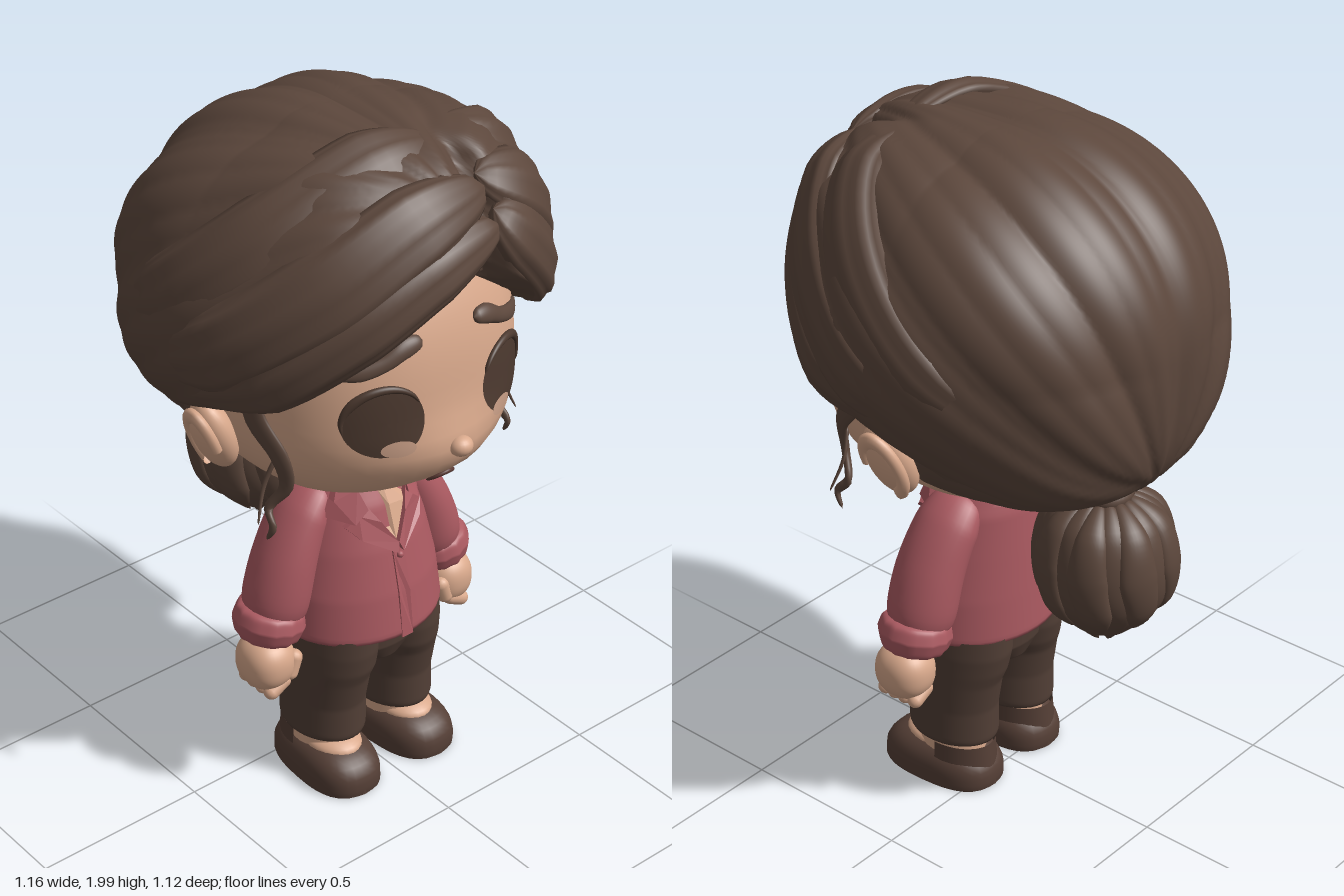
import * as THREE from 'three';

const V = (x, y, z) => new THREE.Vector3(x, y, z);
const mat = (name, color) => Object.assign(new THREE.MeshStandardMaterial({ color, side: THREE.DoubleSide }), { name });

// Linear look-up in a table of rows, the first column being the key
function table(rows, key) {
  let i = 0;
  while (i < rows.length - 2 && key > rows[i + 1][0]) i++;
  const a = rows[i], b = rows[i + 1];
  const t = THREE.MathUtils.clamp((key - a[0]) / (b[0] - a[0]), 0, 1);
  return a.map((q, k) => q + (b[k] - q) * t);
}
const along = (arr, v) => table(arr.map((w, i) => [i / (arr.length - 1), w]), v)[1];

// Closed ring surface: f(v, angle) gives a point, v runs down the rows
function grid(rows, cols, f) {
  const pos = [], idx = [];
  for (let r = 0; r <= rows; r++)
    for (let c = 0; c < cols; c++) pos.push(...f(r / rows, (c / cols) * Math.PI * 2).toArray());
  for (let r = 0; r < rows; r++)
    for (let c = 0; c < cols; c++) {
      const a = r * cols + c, b = r * cols + ((c + 1) % cols);
      idx.push(a, a + cols, b + cols, a, b + cols, b);
    }
  const g = new THREE.BufferGeometry();
  g.setAttribute('position', new THREE.Float32BufferAttribute(pos, 3));
  g.setIndex(idx);
  g.computeVertexNormals();
  return g;
}

// Rounded strand along points; its flat side faces away from centre
function sweep(points, widths, thicks, centre, ridges = 0, depth = 0) {
  const curve = new THREE.CatmullRomCurve3(points);
  return grid(28, 28, (v, a) => {
    const p = curve.getPoint(v), t = curve.getTangent(v);
    const n = p.clone().sub(centre);
    n.addScaledVector(t, -n.dot(t)).normalize();
    const b = t.clone().cross(n);
    const e = Math.sqrt(Math.max(0, 1 - Math.abs(2 * v - 1) ** 8)) * (1 + depth * Math.cos(a * ridges));
    return p.addScaledVector(b, Math.cos(a) * along(widths, v) * e).addScaledVector(n, Math.sin(a) * along(thicks, v) * e);
  });
}

// Elliptic loft, rows of [y, rx, zCentre, rz, xCentre] from the bottom up
const loft = (rows, side = 1) => grid(44, 40, (v, a) => {
  const top = rows[rows.length - 1][0];
  const [y, rx, zc, rz, xc] = table(rows, top + (rows[0][0] - top) * v);
  return V(side * xc + rx * Math.sin(a), y, zc + rz * Math.cos(a));
});

// Superellipsoid with separate radii for each end
function blob(rx, up, down, front, back, n, floor = -9) {
  return grid(32, 44, (v, a) => {
    const t = v * Math.PI, d = V(Math.sin(t) * Math.sin(a), Math.cos(t), Math.sin(t) * Math.cos(a));
    const q = Math.abs(d.x / rx) ** n + Math.abs(d.y / (d.y > 0 ? up : down)) ** n + Math.abs(d.z / (d.z > 0 ? front : back)) ** n;
    d.multiplyScalar(q ** (-1 / n));
    d.y = Math.max(d.y, floor);
    return d;
  });
}

// Lay a geometry onto the surface z = f(x, y)
function drape(g, f, lift) {
  const p = g.attributes.position;
  for (let i = 0; i < p.count; i++) p.setZ(i, p.getZ(i) + f(p.getX(i), p.getY(i), p.getZ(i)) + lift);
  g.computeVertexNormals();
  return g;
}
const plate = (pts, depth) => new THREE.ExtrudeGeometry(new THREE.Shape(pts.map(p => new THREE.Vector2(...p))), { depth, bevelEnabled: false });
const disc = (x, y, rx, ry) => new THREE.RingGeometry(0.001, 1, 36, 6).scale(rx, ry, 1).translate(x, y, 0);

// Face surface with a soft muzzle
const HEAD = V(0, 1.27, 0.05);
const muzzle = (x, y) => 0.045 * Math.exp(-((x / 0.17) ** 2) - ((y - 1.15) / 0.1) ** 2);
const faceZ = (x, y) => {
  const dy = y - HEAD.y;
  return HEAD.z + muzzle(x, y) + 0.425 * Math.max(0, 1 - Math.abs(x / 0.41) ** 2.4 - Math.abs(dy / (dy > 0 ? 0.52 : 0.315)) ** 2.4) ** (1 / 2.4);
};
// Shirt body surface
const TORSO = [[0.479, 0.15, 0.1, 0.12, 0], [0.48, 0.24, 0.105, 0.205, 0], [0.5, 0.243, 0.105, 0.208, 0], [0.62, 0.232, 0.1, 0.195, 0],
  [0.75, 0.205, 0.09, 0.175, 0], [0.87, 0.175, 0.075, 0.15, 0], [0.93, 0.14, 0.065, 0.125, 0], [0.965, 0.095, 0.06, 0.095, 0]];
const torsoZ = (x, y) => {
  const [, rx, zc, rz] = table(TORSO, y);
  return zc + rz * Math.sqrt(Math.max(0, 1 - (x / rx) ** 2));
};
// Hair volume
const HC = V(0, 1.48, -0.005);
function hull(d, k = 1) {
  d = d.clone().normalize();
  const n = 2 + 3.6 * Math.max(0, d.y * d.z) * (1 - Math.abs(d.x));
  const q = Math.abs(d.x / 0.565) ** n + Math.abs(d.y / (d.y > 0 ? 0.49 : 0.47)) ** n + Math.abs(d.z / (d.z > 0 ? 0.53 : 0.555)) ** n;
  return d.multiplyScalar(k * q ** (-1 / n)).add(HC);
}
const HAIRLINE = [[0, 1.69], [15, 1.64], [31, 1.52], [54, 1.37], [90, 1.27], [104, 1.17], [120, 1.06], [180, 1.03]];

function hairCap() {
  const dir = (t, a) => V(Math.sin(t) * Math.sin(a), Math.cos(t), Math.sin(t) * Math.cos(a));
  const limits = new Map();
  return grid(80, 240, (v, a) => {
    if (!limits.has(a)) {
      const deg = THREE.MathUtils.radToDeg(Math.min(a, 2 * Math.PI - a)), y = table(HAIRLINE, deg)[1];
      let lo = 0, hi = Math.PI;
      for (let i = 0; i < 22; i++) {
        const m = (lo + hi) / 2;
        if (hull(dir(m, a)).y > y) lo = m; else hi = m;
      }
      limits.set(a, lo);
    }
    const s = Math.min(1, v / 0.94), d = dir(limits.get(a) * s, a);
    // Strand ridges run from the front parting to the ponytail
    const up = d.y * 0.78 - d.z * 0.62, phi = Math.atan2(d.x, up), fan = Math.sqrt(Math.hypot(d.x, up));
    let k = 1 + fan * (0.04 * (Math.abs(Math.sin(phi * 5 + 0.5 * Math.sin(phi * 2))) - 0.65) + 0.009 * Math.abs(Math.sin(phi * 16 + 1)));
    if (v > 0.94) k *= 1 - ((v - 0.94) / 0.06) * 0.28;
    const p = hull(d, k);
    if (p.z > 0.15 && p.y > 1.6) p.z -= 0.09 * Math.exp(-(((p.x - 0.11) / 0.04) ** 2)) * Math.min(1, (p.z - 0.15) * 4);
    return p;
  });
}

export function createModel() {
  const model = new THREE.Group();
  const hair = mat('hair brown', 0x5c473c), skin = mat('skin', 0xd9a98c), shirt = mat('shirt rose', 0xab5a61);
  const trousers = mat('trouser brown', 0x523f36), shoe = mat('shoe brown', 0x553f36), eye = mat('eye brown', 0x4c392f);
  const shine = mat('eye glow', 0xc79d85), lip = mat('mouth dark', 0x5a3a34), teeth = mat('teeth', 0xe0bfa9);
  const add = (name, g, m, x = 0, y = 0, z = 0) => {
    const mesh = new THREE.Mesh(g, m);
    mesh.name = name;
    mesh.position.set(x, y, z);
    model.add(mesh);
    return mesh;
  };

  // Head and face
  add('head', drape(blob(0.41, 0.52, 0.315, 0.425, 0.36, 2.4), (x, y, z) => (z > 0 ? muzzle(x, y + HEAD.y) * Math.min(1, z * 5) : 0), 0), skin, HEAD.x, HEAD.y, HEAD.z);
  add('nose', new THREE.SphereGeometry(0.03, 20, 14).scale(1.1, 0.9, 1), skin, 0, 1.19, 0.507);
  add('neck', new THREE.CylinderGeometry(0.08, 0.085, 0.16, 28), skin, 0, 0.93, 0.07);
  const onFace = (x, y, lift = 0.004) => V(x, y, faceZ(x, y) + lift);
  add('teeth', drape(disc(0, 1.07, 0.03, 0.013), faceZ, 0.007), teeth);
  add('mouth', sweep([[-0.042, 1.062], [-0.025, 1.081], [0, 1.088], [0.025, 1.081], [0.042, 1.062]].map(p => onFace(...p)), [0.004, 0.007, 0.004], [0.006, 0.006], HEAD), lip);

  // Hair: each lock is [hull factor, width, points]
  add('hairCap', hairCap(), hair);
  add('napeHair', blob(0.425, 0.3, 0.27, 0.03, 0.44, 2.6), hair, 0, 1.27, -0.01);
  const locks = [
    [0.99, 0.085, [0.13, 1.78, 0.5], [-0.1, 1.74, 0.52], [-0.3, 1.62, 0.45], [-0.46, 1.45, 0.28], [-0.54, 1.31, 0]],
    [0.99, 0.1, [0.12, 1.87, 0.45], [-0.12, 1.84, 0.47], [-0.36, 1.7, 0.4], [-0.52, 1.5, 0.16], [-0.54, 1.35, -0.2]],
    [0.95, 0.1, [0.1, 1.95, 0.3], [-0.12, 1.95, 0.3], [-0.4, 1.78, 0.2], [-0.54, 1.56, -0.04], [-0.46, 1.32, -0.38]],
    [0.97, 0.09, [0.14, 1.83, 0.5], [0.22, 1.73, 0.5], [0.36, 1.56, 0.4], [0.49, 1.41, 0.2], [0.55, 1.31, -0.03]],
    [0.96, 0.1, [0.13, 1.9, 0.42], [0.28, 1.82, 0.42], [0.44, 1.63, 0.28], [0.55, 1.45, 0.03], [0.51, 1.3, -0.28]],
    [0.95, 0.09, [0.14, 1.95, 0.24], [0.3, 1.88, 0.25], [0.46, 1.7, 0.1], [0.54, 1.5, -0.15], [0.42, 1.3, -0.42]],
  ];
  for (const [k, w, ...pts] of locks)
    add('frontLock', sweep(pts.map(p => hull(V(...p).sub(HC), k)), [w * 0.6, w, w * 1.1, w, w * 0.35], [0.035, 0.048, 0.045, 0.04, 0.015], HC, 8, 0.07), hair);

  // Ponytail with overlapping locks
  const PT = V(0, 0.82, -0.335);
  add('ponytailCore', blob(0.165, 0.2, 0.23, 0.165, 0.165, 2), hair, PT.x, PT.y, PT.z);
  for (let i = 0; i < 16; i++) {
    const a = (i / 16) * Math.PI * 2, outer = i % 2;
    const at = (r, y, twist = 0) => V(r * Math.sin(a + twist), y, PT.z + r * Math.cos(a + twist));
    const r = outer ? 0.172 : 0.155;
    add('ponytailLock', sweep([at(0.05, 1.015), at(r * 0.82, 0.945), at(r, 0.84), at(r * 0.93, 0.73, 0.12), outer ? at(0.105, 0.645, 0.25) : at(0.03, 0.575, 0.2)],
      [0.02, 0.045, 0.057, 0.047, 0.01], [0.02, 0.03, 0.03, 0.025, 0.01], PT), hair);
  }
  add('hairTie', new THREE.TorusGeometry(0.055, 0.028, 12, 32).rotateX(Math.PI / 2 - 0.25), hair, 0, 1.03, -0.325);

  // Shirt
  add('shirtBody', loft(TORSO), shirt);
  add('collarBack', new THREE.CylinderGeometry(0.095, 0.14, 0.08, 32, 1, true, Math.PI / 2 - 0.6, Math.PI + 1.2), shirt, 0, 0.94, 0.06);
  add('placket', drape(plate([[-0.016, 0.485], [0.022, 0.485], [0.022, 0.62], [0.022, 0.75], [-0.016, 0.75], [-0.016, 0.62]], 0.005), torsoZ, 0), shirt);
  add('button', new THREE.SphereGeometry(0.01, 12, 8), shirt, 0.004, 0.73, torsoZ(0, 0.73) + 0.006);

  // Seat joining the legs
  add('hips', loft([[0.35, 0.03, 0.1, 0.08, 0], [0.375, 0.1, 0.1, 0.145, 0], [0.43, 0.19, 0.1, 0.168, 0], [0.5, 0.21, 0.1, 0.176, 0]]), trousers);

  for (const s of [1, -1]) {
    // Eyes and brows
    add('eye', drape(disc(s * 0.197, 1.302, 0.099, 0.096), faceZ, 0.004), eye);
    add('eyeGlow', drape(disc(s * 0.172, 1.228, 0.043, 0.023), faceZ, 0.008), shine);
    const lash = [];
    for (let i = 0; i <= 8; i++) {
      const a = 2.7 - i * 0.37;
      lash.push(onFace(s * (0.197 + 0.098 * Math.cos(a)), 1.302 + 0.096 * Math.sin(a)));
    }
    add('lash', sweep(lash, [0.004, 0.01, 0.013, 0.004], [0.007, 0.01, 0.006], HEAD), eye);
    add('brow', sweep([[0.085, 1.505], [0.135, 1.497], [0.19, 1.468], [0.25, 1.447], [0.32, 1.435]].map(([x, y]) => onFace(s * x, y)),
      [0.022, 0.027, 0.021, 0.02, 0.008], [0.015, 0.017, 0.012, 0.008], HEAD), hair);

    // Ear with a curled outer rim
    const ear = new THREE.Group();
    ear.name = 'ear';
    ear.position.set(s * 0.425, 1.17, 0.035);
    ear.rotation.set(0.12, 0, -s * 0.36);
    const lobe = new THREE.Mesh(new THREE.SphereGeometry(1, 28, 20).scale(0.052, 0.118, 0.073), skin);
    const rim = new THREE.Mesh(new THREE.TorusGeometry(0.054, 0.016, 10, 32, 4.4).rotateZ(-1.3).rotateY(Math.PI / 2).scale(1, 1.65, 1), skin);
    lobe.name = 'earLobe';
    rim.name = 'earRim';
    rim.position.x = s * 0.032;
    ear.add(lobe, rim);
    model.add(ear);

    // Loose wisps beside the face
    add('wisp', sweep([[0.41, 1.42, 0.16], [0.405, 1.28, 0.18], [0.38, 1.18, 0.25], [0.365, 1.09, 0.255], [0.395, 1.02, 0.22], [0.405, 0.98, 0.25], [0.41, 0.935, 0.23]]
      .map(([x, y, z]) => V(s * x, y, z)), [0.035, 0.034, 0.024, 0.014, 0.012, 0.007], [0.012, 0.012, 0.01, 0.007], HEAD), hair);
    add('wispTip', sweep([V(s * 0.38, 1.17, 0.23), V(s * 0.41, 1.09, 0.22), V(s * 0.445, 1, 0.24)], [0.007, 0.006, 0.003], [0.006, 0.003], HEAD), hair);

    // Open neckline, collar and lapel
    const mirror = pts => pts.map(([x, y]) => [s * x, y]);
    add('neckSkin', drape(plate(mirror([[0, 0.965], [0.04, 0.965], [0.08, 0.962], [0.085, 0.93], [0.06, 0.86], [0, 0.775], [0, 0.87], [0, 0.93]]), 0.004), torsoZ, 0.004), skin);
    add('collar', drape(plate(mirror([[0.08, 0.96], [0.1, 0.95], [0.135, 0.9], [0.172, 0.86], [0.11, 0.845], [0.07, 0.88], [0.078, 0.93]]), 0.022), torsoZ, 0.004), shirt);
    add('lapel', drape(plate(mirror([[0.078, 0.905], [0.095, 0.865], [0.13, 0.835], [0.1, 0.8], [0.01, 0.745], [0, 0.772], [0.042, 0.84]]), 0.016), torsoZ, 0.004), shirt);

    // Sleeve, gathered cuff and hand
    const back = V(s * 0.1, 0.6, -3);
    add('sleeve', sweep([V(s * 0.1, 0.915, 0.065), V(s * 0.172, 0.84, 0.07), V(s * 0.235, 0.72, 0.08), V(s * 0.29, 0.525, 0.085)],
      [0.045, 0.068, 0.083, 0.1], [0.07, 0.095, 0.1, 0.104], back), shirt);
    add('cuff', sweep([V(s * 0.283, 0.6, 0.085), V(s * 0.293, 0.55, 0.085), V(s * 0.303, 0.492, 0.085)], [0.088, 0.1, 0.083], [0.092, 0.105, 0.088], back, 12, 0.03), shirt);
    add('hand', blob(0.075, 0.08, 0.08, 0.083, 0.083, 2.3), skin, s * 0.32, 0.435, 0.1);
    for (let i = 0; i < 4; i++) {
      const finger = add('finger', new THREE.CapsuleGeometry(0.022, 0.045, 6, 14), skin, s * 0.322, 0.375, 0.045 + i * 0.036);
      finger.rotation.z = s * 1.1;
    }
    const thumb = add('thumb', new THREE.CapsuleGeometry(0.023, 0.045, 6, 14), skin, s * 0.272, 0.425, 0.155);
    thumb.rotation.z = s * 0.35;

    // Leg, ankle and shoe
    add('trouserLeg', loft([[0.136, 0.07, 0.1, 0.09, 0.121], [0.137, 0.1, 0.1, 0.132, 0.121], [0.155, 0.108, 0.1, 0.138, 0.121], [0.25, 0.107, 0.1, 0.138, 0.12],
      [0.34, 0.112, 0.102, 0.155, 0.119], [0.38, 0.118, 0.102, 0.17, 0.113], [0.44, 0.122, 0.1, 0.18, 0.109], [0.5, 0.122, 0.1, 0.18, 0.106]], s), trousers);
    add('ankle', new THREE.CylinderGeometry(0.082, 0.085, 0.1, 28).scale(1, 1, 1.3), skin, s * 0.125, 0.1, 0.105);
    const upper = add('shoeUpper', blob(0.108, 0.098, 0.1, 0.18, 0.18, 2.7, -0.02), shoe, s * 0.13, 0.02, 0.13);
    const sole = add('sole', new THREE.CylinderGeometry(1, 1, 0.024, 36).scale(0.108, 1, 0.18), shoe, s * 0.13, 0.012, 0.13);
    const heel = add('heel', new THREE.CylinderGeometry(0.085, 0.085, 0.02, 28), shoe, s * 0.125, 0.01, 0.04);
    for (const part of [upper, sole, heel]) part.rotation.y = s * 0.06;
    add('footTop', new THREE.SphereGeometry(1, 24, 16).scale(0.075, 0.035, 0.1), skin, s * 0.13, 0.103, 0.15);
    add('shoeBack', new THREE.CylinderGeometry(0.09, 0.095, 0.08, 28, 1, true, Math.PI / 2, Math.PI).scale(1, 1, 1.4), shoe, s * 0.127, 0.095, 0.09);
  }
  return model;
}
